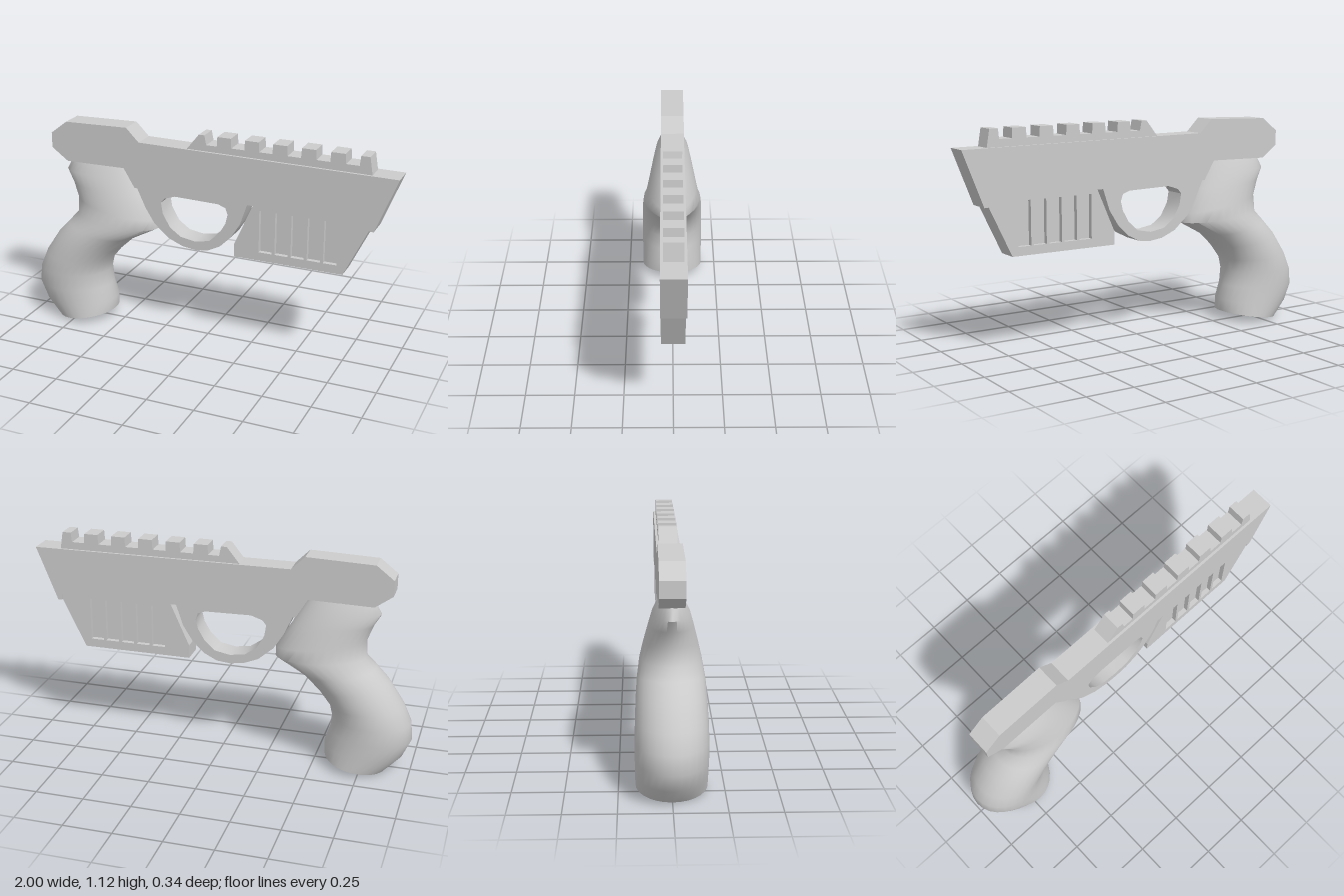
import * as THREE from 'three';
import { toCreasedNormals } from 'three/addons/utils/BufferGeometryUtils.js';

const material = new THREE.MeshStandardMaterial({ color: 0xcccccc });
const toPoints = (list) => list.map(([x, y]) => new THREE.Vector2(x, y));

// Side outline, with optional holes, extruded from z0 to z1
function plate(name, outline, z0, z1, holes = [], crease = 0.1) {
  const shape = new THREE.Shape(toPoints(outline));
  for (const hole of holes) shape.holes.push(new THREE.Path(toPoints(hole)));
  let geometry = new THREE.ExtrudeGeometry(shape, { depth: z1 - z0, bevelEnabled: false });
  geometry.translate(0, 0, z0);
  geometry = toCreasedNormals(geometry, crease);
  const mesh = new THREE.Mesh(geometry, material);
  mesh.name = name;
  return mesh;
}

// Loft of tilted ellipses: [back x, back y, front x, front y, half width]
function loft(name, sections, sides = 28) {
  const positions = [], index = [];
  for (const [bx, by, fx, fy, w] of sections) {
    for (let i = 0; i < sides; i++) {
      const a = (i / sides) * Math.PI * 2, c = Math.cos(a) / 2;
      positions.push((bx + fx) / 2 + (fx - bx) * c, (by + fy) / 2 + (fy - by) * c, w * Math.sin(a));
    }
  }
  for (let s = 0; s < sections.length - 1; s++) {
    for (let i = 0; i < sides; i++) {
      const p = s * sides + i, q = s * sides + (i + 1) % sides;
      index.push(p, p + sides, q, q, p + sides, q + sides);
    }
  }
  // end caps as fans
  const top = (sections.length - 1) * sides;
  for (let i = 1; i < sides - 1; i++) {
    index.push(0, i, i + 1, top, top + i + 1, top + i);
  }
  const geometry = new THREE.BufferGeometry();
  geometry.setAttribute('position', new THREE.Float32BufferAttribute(positions, 3));
  geometry.setIndex(index);
  const mesh = new THREE.Mesh(toCreasedNormals(geometry, 0.95), material);
  mesh.name = name;
  return mesh;
}

export function createModel() {
  const model = new THREE.Group();
  model.name = 'toyBlaster';

  // Long flat body with raised rear and slanted nose
  model.add(plate('body', [
    [-0.87, 0.96], [-0.78, 0.895], [-0.45, 0.9], [-0.39, 0.8], [0.865, 0.8], [0.87, 0.76],
    [0.89, 0.76], [1, 1.04], [-0.36, 1.05], [-0.43, 1.12], [-0.78, 1.11], [-0.87, 1.04],
  ], -0.06, 0.06));

  // Toothed top rail
  const rail = [[-0.11, 1.03], [-0.03, 1.13], [0, 1.13], [0.01, 1.08]];
  for (let i = 0; i < 5; i++) {
    const x = 0.067 + i * 0.147;
    rail.push([x, 1.08], [x + 0.003, 1.13], [x + 0.075, 1.13], [x + 0.078, 1.08]);
  }
  rail.push([0.8, 1.08], [0.805, 1.13], [0.85, 1.13], [0.867, 1.03]);
  model.add(plate('topRail', rail, -0.047, 0.047));

  // Fore block: solid core between two slotted side plates
  const block = [[0.17, 0.51], [0.745, 0.51], [0.87, 0.77], [0.865, 0.805], [0.27, 0.805], [0.17, 0.58]];
  const slots = [];
  for (let i = 0; i < 5; i++) {
    const x = 0.303 + i * 0.085;
    slots.push([[x, 0.555], [x, 0.78], [x + 0.07, 0.78], [x + 0.07, 0.555]]);
  }
  const foreBlock = new THREE.Group();
  foreBlock.name = 'foreBlock';
  foreBlock.add(
    plate('blockCore', block, -0.03, 0.035),
    plate('slottedSideFront', block, 0.035, 0.059, slots),
    plate('slottedSideBack', block, -0.055, -0.03, slots),
  );
  model.add(foreBlock);

  // Trigger guard with a rounded opening
  model.add(plate('triggerGuard', [
    [-0.38, 0.81], [-0.33, 0.7], [-0.28, 0.62], [-0.2, 0.55], [-0.12, 0.517], [-0.05, 0.508],
    [0.02, 0.515], [0.09, 0.55], [0.15, 0.61], [0.2, 0.69], [0.24, 0.81],
  ], -0.058, 0.058, [[
    [-0.24, 0.74], [-0.22, 0.765], [-0.16, 0.785], [0.08, 0.78], [0.12, 0.765], [0.132, 0.73],
    [0.12, 0.68], [0.085, 0.62], [0.03, 0.57], [-0.05, 0.555], [-0.13, 0.568], [-0.19, 0.61],
    [-0.23, 0.68],
  ]], 0.7));

  // Curved, swollen hand grip
  model.add(loft('grip', [
    [-0.88, 0.005, -0.555, 0.055, 0.17],
    [-0.96, 0.09, -0.55, 0.12, 0.171],
    [-1, 0.18, -0.575, 0.2, 0.172],
    [-0.99, 0.27, -0.585, 0.28, 0.172],
    [-0.95, 0.36, -0.57, 0.345, 0.17],
    [-0.87, 0.48, -0.51, 0.42, 0.166],
    [-0.8, 0.555, -0.43, 0.495, 0.16],
    [-0.75, 0.61, -0.28, 0.575, 0.148],
    [-0.745, 0.7, -0.28, 0.625, 0.132],
    [-0.775, 0.78, -0.36, 0.75, 0.108],
    [-0.81, 0.84, -0.41, 0.84, 0.088],
    [-0.78, 0.9, -0.45, 0.905, 0.058],
  ]));

  return model;
}
